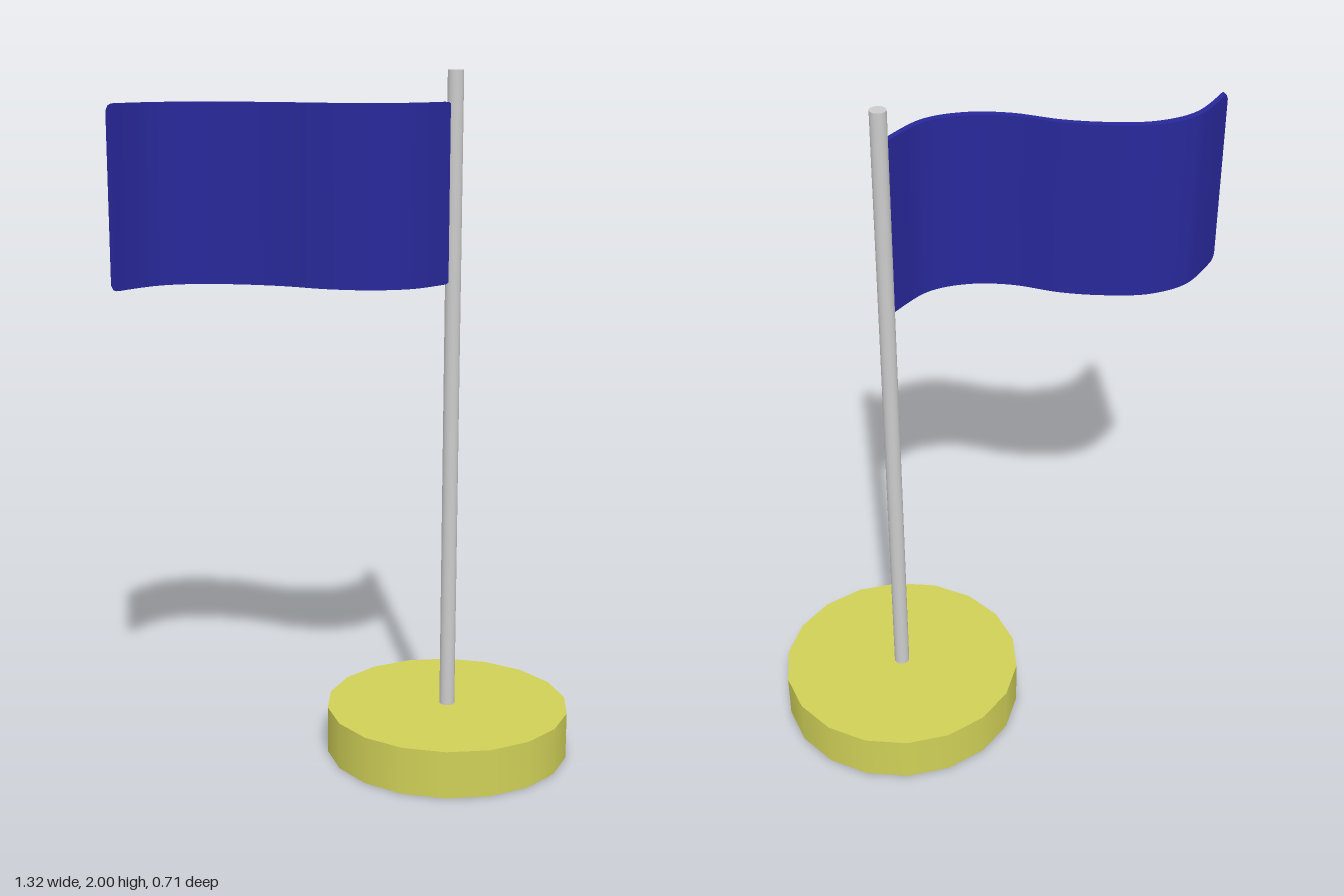
import * as THREE from 'three';

const POLE_X = 0.297;

function addMesh(group, name, geometry, color) {
  const mesh = new THREE.Mesh(geometry, new THREE.MeshStandardMaterial({ color }));
  mesh.name = name;
  group.add(mesh);
  return mesh;
}

// Waving cloth: a thin slab bent along a plan curve, with small rounded corners
function flagGeometry() {
  const height = 0.505, thickness = 0.021, radius = 0.018;
  const startX = 0.288, endX = -0.66;
  const waveZ = [0, 0.09, 0.105, 0.07, -0.004, -0.052, -0.075, -0.046, 0.062];
  const wave = new THREE.SplineCurve(waveZ.map((z, i) =>
    new THREE.Vector2(THREE.MathUtils.lerp(startX, endX, i / (waveZ.length - 1)), z)));

  const geometry = new THREE.BoxGeometry(1, height, thickness, 96, 1, 1);
  const pos = geometry.attributes.position;
  for (let i = 0; i < pos.count; i++) {
    const p = wave.getPoint(0.5 - pos.getX(i));
    const edge = Math.min(startX - p.x, p.x - endX);
    const into = Math.max(0, radius - edge);
    const drop = radius - Math.sqrt(Math.max(0, radius * radius - into * into));
    const y = pos.getY(i);
    pos.setXYZ(i, p.x, y - Math.sign(y) * drop, p.y + pos.getZ(i));
  }
  geometry.computeVertexNormals();
  return geometry;
}

export function createModel() {
  const group = new THREE.Group();
  group.name = 'flagOnStand';

  // Round foot, a vertex pointing along +x
  const base = addMesh(group, 'base',
    new THREE.CylinderGeometry(0.36, 0.36, 0.14, 18, 1, false, Math.PI / 2), 0xd0d058);
  base.position.set(POLE_X, 0.07, 0);

  // Pole through the foot
  const pole = addMesh(group, 'pole', new THREE.CylinderGeometry(0.0225, 0.0225, 2, 18), 0xcccccc);
  pole.position.set(POLE_X, 1, 0);

  // Flag
  const flag = addMesh(group, 'flag', flagGeometry(), 0x28289a);
  flag.position.y = 1.661;

  return group;
}
